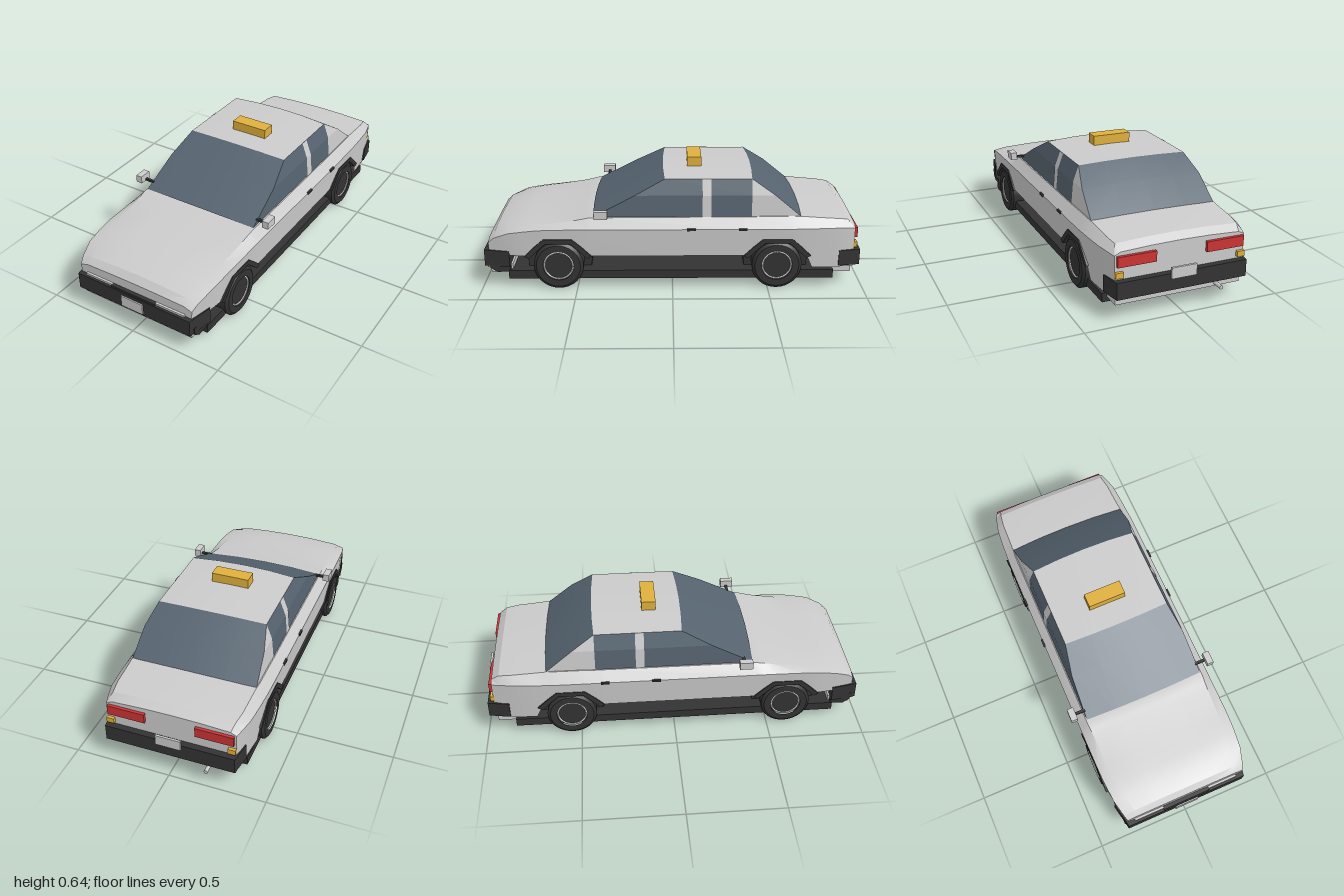
import * as THREE from 'three';
import { toCreasedNormals } from 'three/addons/utils/BufferGeometryUtils.js';

const mat = (color, side = THREE.FrontSide) => new THREE.MeshStandardMaterial({ color, side });
const paint = mat(0xcccccc);
const paintShell = mat(0xcccccc, THREE.DoubleSide);
const dark = mat(0x333333);
const glass = mat(0x566470, THREE.DoubleSide);
const red = mat(0xcc3333);
const amber = mat(0xe0b03c);

export function createModel() {
  const car = new THREE.Group();
  car.name = 'taxi';

  const add = (name, geometry, material) => {
    const mesh = new THREE.Mesh(geometry, material);
    mesh.name = name;
    car.add(mesh);
    return mesh;
  };

  // Box given by its limits on each axis
  const box = (name, material, [x0, x1], [y0, y1], [z0, z1]) =>
    add(name, new THREE.BoxGeometry(x1 - x0, y1 - y0, z1 - z0), material)
      .position.set((x0 + x1) / 2, (y0 + y1) / 2, (z0 + z1) / 2);

  // The same box on both sides of the car
  const boxPair = (name, material, [x0, x1], y, z) => {
    box(name + 'Left', material, [x0, x1], y, z);
    box(name + 'Right', material, [-x1, -x0], y, z);
  };

  // Surface through rows of points; caps close the first and last row
  const surface = (rows, capped = false, crease = 0.4) => {
    const n = rows[0].length;
    const index = [];
    for (let i = 0; i < rows.length - 1; i++) {
      for (let j = 0; j < n - 1; j++) {
        const a = i * n + j, b = a + n;
        index.push(a, a + 1, b, a + 1, b + 1, b);
      }
    }
    if (capped) {
      const last = (rows.length - 1) * n;
      for (let j = 1; j < n - 1; j++) {
        index.push(0, j + 1, j, last, last + j, last + j + 1);
      }
    }
    const g = new THREE.BufferGeometry();
    g.setAttribute('position', new THREE.Float32BufferAttribute(rows.flat(2), 3));
    g.setIndex(index);
    g.computeVertexNormals();
    return toCreasedNormals(g, crease);
  };

  // Side outline in (z, y), extruded between two x values
  const sidePlate = (name, material, points, x0, x1, hole) => {
    const shape = new THREE.Shape(points.map(p => new THREE.Vector2(...p)));
    if (hole) shape.holes.push(new THREE.Path(hole.map(p => new THREE.Vector2(...p))));
    const g = new THREE.ExtrudeGeometry(shape, { depth: x1 - x0, bevelEnabled: false });
    g.rotateY(-Math.PI / 2).translate(x1, 0, 0);
    return add(name, g, material);
  };

  // Plan outline in (x, z), extruded between two heights
  const planBlock = (name, material, points, y0, y1) => {
    const shape = new THREE.Shape(points.map(([x, z]) => new THREE.Vector2(x, -z)));
    const g = new THREE.ExtrudeGeometry(shape, { depth: y1 - y0, bevelEnabled: false });
    g.rotateX(-Math.PI / 2).translate(0, y0, 0);
    return add(name, g, material);
  };

  // Lower body: z, sill x, sill y, waist x, waist y, shoulder x, shoulder y, centre y
  const sections = [
    [0.96, 0.325, 0.11, 0.335, 0.25, 0.29, 0.265, 0.27],
    [0.93, 0.335, 0.15, 0.345, 0.277, 0.285, 0.293, 0.305],
    [0.85, 0.355, 0.185, 0.365, 0.31, 0.3, 0.322, 0.332],
    [0.77, 0.365, 0.185, 0.372, 0.322, 0.315, 0.335, 0.342],
    [0.72, 0.368, 0.235, 0.375, 0.328, 0.32, 0.341, 0.348],
    [0.67, 0.372, 0.275, 0.377, 0.332, 0.325, 0.346, 0.354],
    [0.52, 0.372, 0.275, 0.378, 0.335, 0.33, 0.366, 0.374],
    [0.47, 0.37, 0.235, 0.378, 0.335, 0.332, 0.376, 0.384],
    [0.43, 0.368, 0.185, 0.378, 0.335, 0.335, 0.385, 0.391],
    [-0.37, 0.368, 0.185, 0.378, 0.335, 0.335, 0.388, 0.392],
    [-0.42, 0.37, 0.235, 0.378, 0.335, 0.335, 0.388, 0.394],
    [-0.47, 0.372, 0.275, 0.378, 0.335, 0.335, 0.39, 0.395],
    [-0.62, 0.372, 0.275, 0.377, 0.335, 0.335, 0.391, 0.397],
    [-0.68, 0.368, 0.225, 0.374, 0.335, 0.33, 0.388, 0.396],
    [-0.73, 0.36, 0.115, 0.372, 0.335, 0.328, 0.383, 0.392],
    [-0.84, 0.348, 0.11, 0.364, 0.335, 0.325, 0.375, 0.385],
    [-0.91, 0.338, 0.11, 0.347, 0.33, 0.315, 0.367, 0.378],
    [-0.95, 0.33, 0.11, 0.335, 0.325, 0.305, 0.34, 0.35],
  ];
  const rows = sections.map(([z, xb, yb, xw, yw, xs, ys, yc]) => {
    const mid = ys + (yc - ys) * 0.75;
    const half = [[xb, yb, z], [xw, yw, z], [xs, ys, z], [xs / 2, mid, z]];
    return [...half, [0, yc, z], ...half.map(([x, y]) => [-x, y, z]).reverse()];
  });
  add('body', surface(rows, true), paintShell);

  // Cabin: height, half width, front z, rear z of each level
  const levels = [[0.388, 0.33, 0.41, -0.665], [0.5, 0.32, 0.195, -0.53], [0.58, 0.29, 0.04, -0.41]];
  const across = [-1, -0.5, 0, 0.5, 1];
  const crown = u => 0.01 * (1 - u * u);
  const screen = end => levels.map(([y, x, zf, zr]) => across.map(u =>
    [x * u, y + crown(u), (end > 0 ? zf : zr) + end * crown(u)]));
  add('windscreen', surface(screen(1)), glass);
  add('rearWindow', surface(screen(-1)), glass);
  add('roof', surface([0.04, -0.41].map(z => across.map(u =>
    [-0.29 * u, 0.58 + crown(u), z + Math.sign(z + 0.2) * crown(u)]))), paintShell);
  for (const [side, s] of [['Left', 1], ['Right', -1]]) {
    const strip = (from, to, out = 0) => surface(levels.map(([y, x, zf, zr]) =>
      [[s * (x + out), y, from ?? zf], [s * (x + out), y, to ?? zr]]), false, 0.1);
    add('sideWindow' + side, strip(null, -0.41), glass);
    add('rearPillar' + side, strip(-0.41, null), paintShell);
    add('doorPillar' + side, strip(-0.155, -0.2, 0.003), paintShell);
  }

  // Chassis floor and the valances below the bumpers
  box('floor', dark, [-0.35, 0.35], [0.05, 0.095], [-0.845, 0.86]);
  box('frontValance', paint, [-0.325, 0.325], [0.08, 0.125], [0.84, 0.955]);
  box('rearValance', paint, [-0.325, 0.325], [0.075, 0.125], [-0.94, -0.83]);

  // Bumpers with wrapped ends
  planBlock('frontBumper', dark,
    [[-0.362, 0.85], [-0.336, 0.985], [0.336, 0.985], [0.362, 0.85]], 0.12, 0.208);
  planBlock('rearBumper', dark,
    [[-0.355, -0.87], [-0.336, -0.983], [0.336, -0.983], [0.355, -0.87]], 0.12, 0.205);
  const flap = [[0.96, 0.15], [0.85, 0.15], [0.85, 0.09], [0.92, 0.085], [0.955, 0.11]];
  sidePlate('bumperEndLeft', dark, flap, 0.325, 0.345);
  sidePlate('bumperEndRight', dark, flap, -0.345, -0.325);

  // Wheels: tyre, dark disc and bright rim ring, around the x axis
  const tyre = new THREE.LatheGeometry([[0.08, -0.045], [0.115, -0.045], [0.13, -0.033],
    [0.13, 0.033], [0.115, 0.045], [0.08, 0.045], [0.078, 0.03]].map(p => new THREE.Vector2(...p)), 32);
  const tyreGeometry = toCreasedNormals(tyre, 0.5).rotateZ(-Math.PI / 2);
  const disc = new THREE.CylinderGeometry(0.08, 0.08, 0.07, 32).rotateZ(-Math.PI / 2);
  const ring = new THREE.TorusGeometry(0.075, 0.005, 6, 32).rotateY(Math.PI / 2);
  const archPoints = (zc, k) => [[-0.175, 0.185], [-0.125, 0.235], [-0.075, 0.28],
    [0.075, 0.28], [0.125, 0.235], [0.175, 0.185]].map(([z, y]) => [zc + z * k, 0.1 + (y - 0.1) * k]);
  for (const [end, zc] of [['front', 0.595], ['rear', -0.545]]) {
    for (const [side, s] of [['Left', 1], ['Right', -1]]) {
      const wheel = new THREE.Group();
      wheel.name = end + 'Wheel' + side;
      const parts = [['tyre', tyreGeometry, dark], ['disc', disc, dark], ['rim', ring, paint]];
      for (const [name, geometry, material] of parts) {
        const part = new THREE.Mesh(geometry, material);
        part.name = name;
        if (name === 'rim') part.position.x = s * 0.036;
        wheel.add(part);
      }
      wheel.position.set(s * 0.33, 0.131, zc);
      car.add(wheel);

      // Wheel well behind the tyre and the arch trim around it
      const span = (a, b) => (s > 0 ? [a, b] : [-b, -a]);
      const outer = archPoints(zc, 1);
      const well = [[zc - 0.165, 0.09], ...outer, [zc + 0.165, 0.09]];
      sidePlate(end + 'WheelWell' + side, dark, well, ...span(0.2, 0.284));
      sidePlate(end + 'Arch' + side, dark,
        [...outer, ...archPoints(zc, 0.86).reverse()], ...span(0.284, 0.376));
    }
  }

  // Front details
  box('grille', dark, [-0.132, 0.132], [0.2, 0.218], [0.94, 0.98]);
  boxPair('headlight', paint, [0.132, 0.295], [0.2, 0.219], [0.94, 0.972]);
  box('frontPlate', paint, [-0.064, 0.064], [0.13, 0.19], [0.98, 0.992]);
  boxPair('frontIndicator', amber, [0.29, 0.332], [0.109, 0.122], [0.93, 0.972]);

  // Rear details
  boxPair('tailLight', red, [0.13, 0.325], [0.27, 0.322], [-0.966, -0.94]);
  boxPair('rearIndicator', amber, [0.295, 0.334], [0.217, 0.245], [-0.966, -0.94]);
  box('rearPlate', paint, [-0.065, 0.065], [0.18, 0.236], [-0.992, -0.98]);
  const pipe = add('exhaust', new THREE.CylinderGeometry(0.01, 0.01, 0.12, 12), paint);
  pipe.rotation.x = Math.PI / 2;
  pipe.position.set(-0.195, 0.092, -0.94);

  // Mirrors, door handles and roof sign
  boxPair('mirrorStalk', dark, [0.32, 0.376], [0.405, 0.416], [0.355, 0.37]);
  boxPair('mirror', paint, [0.375, 0.41], [0.402, 0.442], [0.332, 0.4]);
  boxPair('frontDoorHandle', dark, [0.365, 0.384], [0.329, 0.34], [-0.12, -0.075]);
  boxPair('rearDoorHandle', dark, [0.365, 0.384], [0.329, 0.34], [-0.385, -0.34]);
  box('roofSign', amber, [-0.101, 0.101], [0.585, 0.639], [-0.155, -0.08]);

  return car;
}
